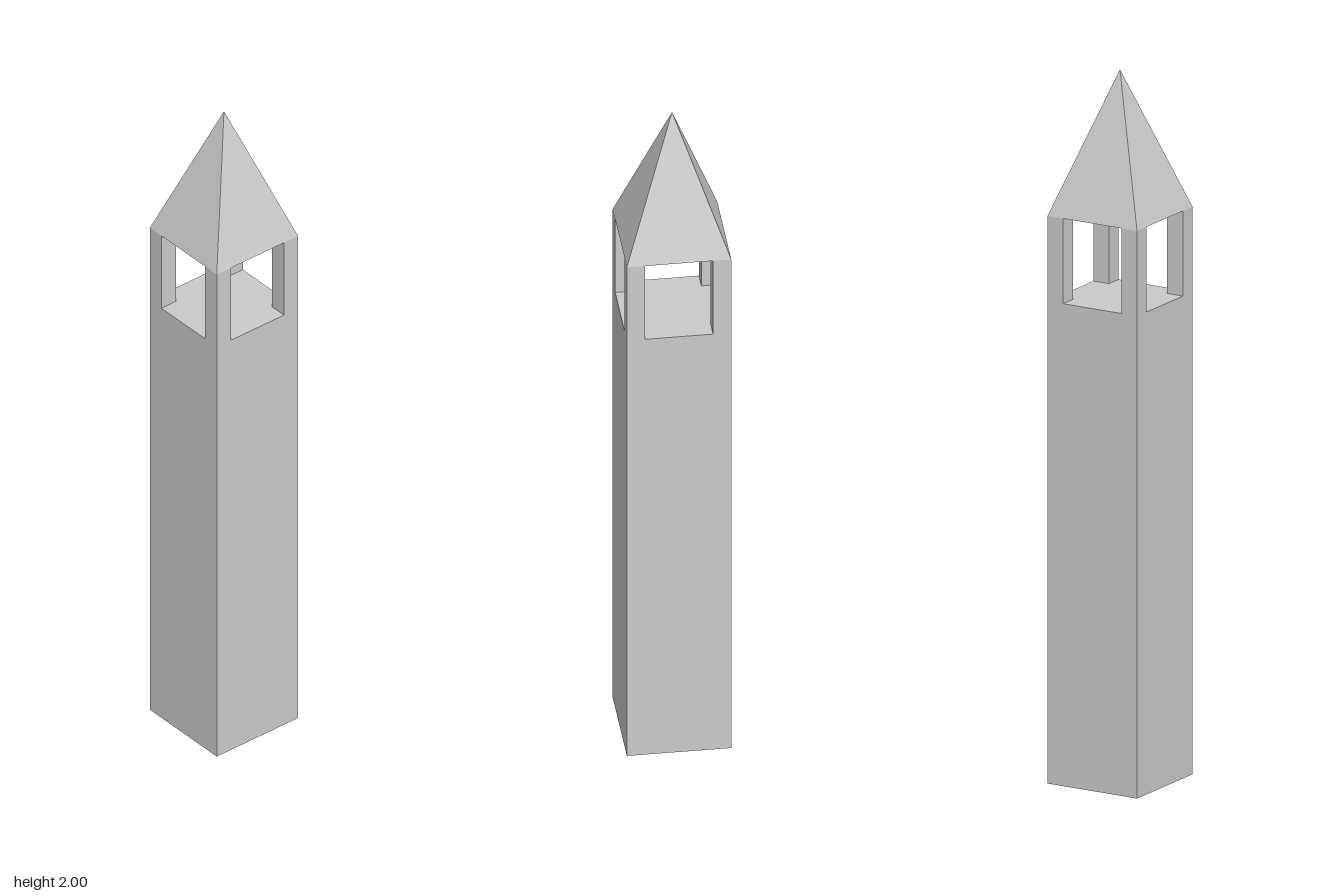
import * as THREE from 'three';

const HALF = 0.143;      // half width of the tower
const SILL = 1.36;       // top of the solid shaft
const EAVES = 1.6;       // bottom of the roof
const TOP = 2;
const POST = 0.05;       // thickness of the corner posts

export function createModel() {
  const group = new THREE.Group();
  const material = new THREE.MeshStandardMaterial({ color: 0xcccccc, flatShading: true });

  const add = (name, geometry, x, y, z) => {
    const mesh = new THREE.Mesh(geometry, material);
    mesh.name = name;
    mesh.position.set(x, y, z);
    group.add(mesh);
  };

  // Square shaft
  add('shaft', new THREE.BoxGeometry(HALF * 2, SILL, HALF * 2), 0, SILL / 2, 0);

  // Four corner posts around the open belfry
  const postGeometry = new THREE.BoxGeometry(POST, EAVES - SILL, POST);
  const offset = HALF - POST / 2;
  for (const sx of [-1, 1]) {
    for (const sz of [-1, 1]) {
      const name = (sz > 0 ? 'front' : 'back') + (sx > 0 ? 'Left' : 'Right') + 'Post';
      add(name, postGeometry, sx * offset, (SILL + EAVES) / 2, sz * offset);
    }
  }

  // Pyramid roof with a closed underside
  const roof = new THREE.ConeGeometry(HALF * Math.SQRT2, TOP - EAVES, 4);
  roof.rotateY(Math.PI / 4);
  add('roof', roof, 0, (EAVES + TOP) / 2, 0);

  return group;
}
